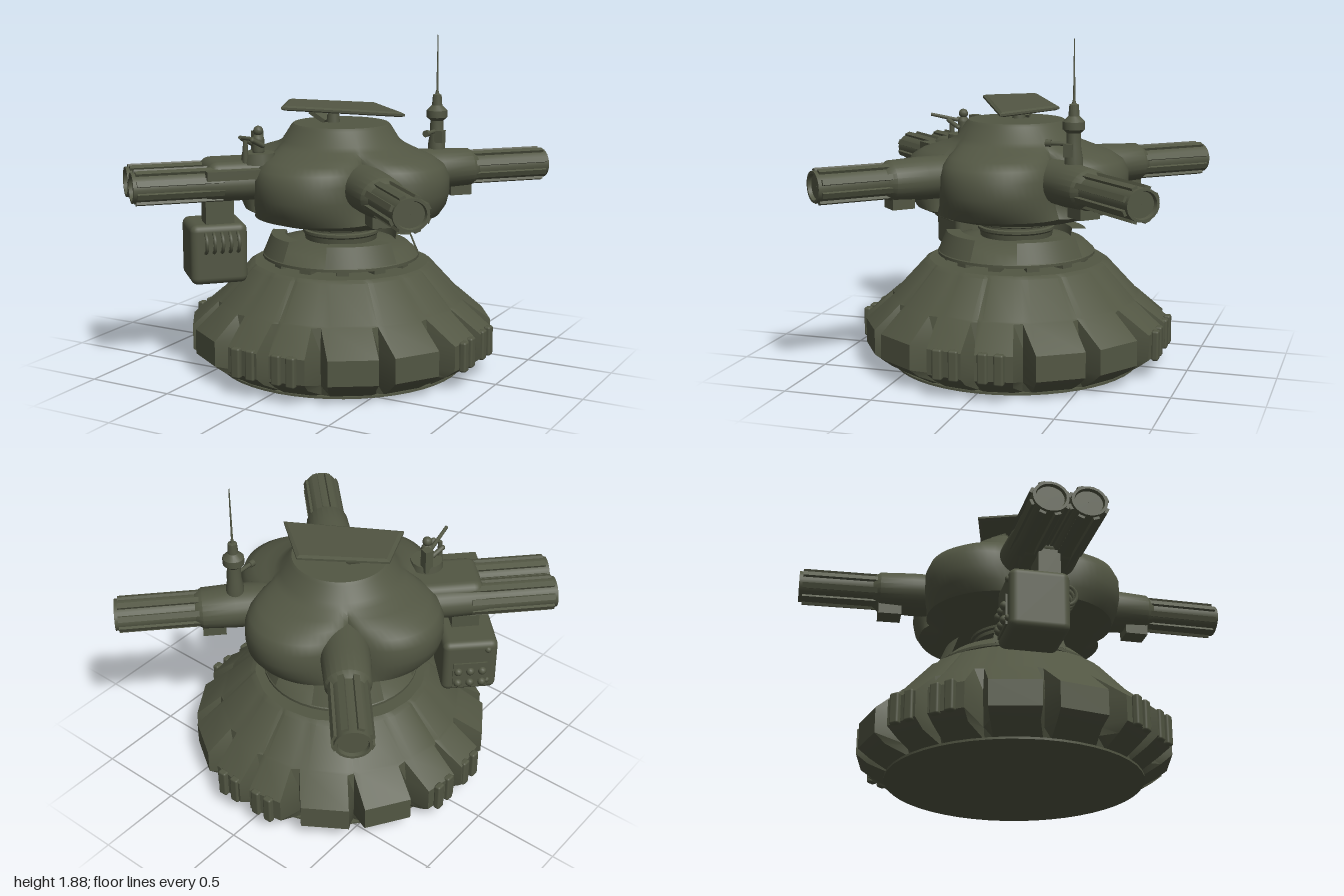
import * as THREE from 'three';
import { toCreasedNormals } from 'three/addons/utils/BufferGeometryUtils.js';
import { RoundedBoxGeometry } from 'three/addons/geometries/RoundedBoxGeometry.js';

const olive = new THREE.MeshStandardMaterial({ color: 0x525643 });
olive.name = 'olive drab';
const RAD = Math.PI / 180;

function add(parent, name, geo, x = 0, y = 0, z = 0) {
  const mesh = new THREE.Mesh(geo, olive);
  mesh.name = name;
  mesh.position.set(x, y, z);
  parent.add(mesh);
  return mesh;
}

function group(parent, name, angle = 0, x = 0, y = 0, z = 0) {
  const g = new THREE.Group();
  g.name = name;
  g.rotation.y = angle;
  g.position.set(x, y, z);
  parent.add(g);
  return g;
}

const box = (w, h, d) => new THREE.BoxGeometry(w, h, d);
const cyl = (r1, r2, h, n = 16) => new THREE.CylinderGeometry(r1, r2, h, n);

// Revolved profile of [radius, height] pairs with sharp edges kept
function lathe(points, n = 32) {
  const geo = new THREE.LatheGeometry(points.map(p => new THREE.Vector2(p[0], p[1])), n);
  return toCreasedNormals(geo, 0.6);
}

// Skin over horizontal rings whose radius depends on the row and the angle stop
function loft(rows, stops, radius, crease) {
  const pos = [], index = [], n = stops.length;
  for (const row of rows) for (const s of stops) {
    const r = radius(row, s);
    pos.push(r * Math.sin(s.a), row[0], r * Math.cos(s.a));
  }
  for (let i = 0; i < rows.length - 1; i++) for (let j = 0; j < n; j++) {
    const k = (j + 1) % n, a = i * n + j, b = i * n + k;
    index.push(a, b, a + n, b, b + n, a + n);
  }
  const geo = new THREE.BufferGeometry();
  geo.setAttribute('position', new THREE.Float32BufferAttribute(pos, 3));
  geo.setIndex(index);
  return toCreasedNormals(geo, crease);
}

function buildBase(root) {
  const base = group(root, 'base');
  // Sixteen armour petals with notches between them
  const half = [[0, 1], [2.5, 0], [16, 0], [20, 1], [24, 0], [42, 0]];
  const stops = [];
  for (let q = 0; q < 4; q++) {
    half.forEach(([d, v]) => stops.push({ a: (q * 90 + d) * RAD, v }));
    stops.push({ a: (q * 90 + 45) * RAD, v: 1 });
    half.slice(1).reverse().forEach(([d, v]) => stops.push({ a: (q * 90 + 90 - d) * RAD, v }));
  }
  // Rows: height, petal radius, notch radius
  const rows = [[0.01, 0.001, 0.001], [0.01, 0.7, 0.68], [0.07, 0.8, 0.7], [0.12, 0.865, 0.71],
    [0.26, 0.865, 0.72], [0.39, 0.715, 0.7], [0.4, 0.7, 0.69], [0.585, 0.53, 0.52],
    [0.6, 0.5, 0.5], [0.6, 0.001, 0.001]];
  add(base, 'armourSkirt', loft(rows, stops, (row, s) => row[1 + s.v], 0.45));
  add(base, 'groundPlate', cyl(0.71, 0.71, 0.012, 48), 0, 0.006, 0);
  // Raised bars on the petals facing the four sides
  for (let q = 0; q < 4; q++) {
    const side = group(base, 'petalBars', q * 90 * RAD);
    for (const x of [-0.17, -0.08, 0.08, 0.17])
      add(side, 'bar', new RoundedBoxGeometry(0.055, 0.17, 0.04, 2, 0.012), x, 0.19, 0.855);
  }
  // Flared collar on pads, with raised guards
  for (let i = 0; i < 12; i++) {
    const pad = group(base, 'collarPad', i * 30 * RAD);
    add(pad, 'pad', box(0.07, 0.05, 0.07), 0, 0.615, 0.38);
  }
  add(base, 'collar', lathe([[0.001, 0.61], [0.37, 0.61], [0.37, 0.63], [0.45, 0.63], [0.45, 0.645],
    [0.39, 0.7], [0.23, 0.73], [0.001, 0.73]], 40));
  for (let q = 0; q < 4; q++) {
    const shape = lathePart(0.4, 55 * RAD);
    const guard = group(base, 'collarGuard', (q * 90 + 45) * RAD);
    add(guard, 'guard', shape);
  }
  // Ringed neck
  add(base, 'neck', lathe([[0.2, 0.7], [0.21, 0.76], [0.22, 0.77], [0.22, 0.785], [0.205, 0.79],
    [0.205, 0.8], [0.235, 0.81], [0.235, 0.83], [0.25, 0.835], [0.25, 0.87]], 32));
}

// Closed curved wall centred on +z
function lathePart(r, angle) {
  const pts = [[r - 0.1, 0.65], [r + 0.045, 0.65], [r, 0.76], [r - 0.08, 0.76], [r - 0.1, 0.65]];
  const geo = new THREE.LatheGeometry(pts.map(p => new THREE.Vector2(...p)), 12, -angle / 2, angle);
  return toCreasedNormals(geo, 0.5);
}

function buildTurret(root) {
  const turret = group(root, 'turret');
  const stops = Array.from({ length: 96 }, (_, i) => ({ a: i / 96 * Math.PI * 2 }));
  // Rows: height, radius, depth of the diagonal creases
  const rows = [[0.85, 0.001, 0], [0.85, 0.4, 0], [0.865, 0.46, 0.04], [0.9, 0.58, 0.15],
    [0.96, 0.625, 0.27], [1.03, 0.645, 0.32], [1.12, 0.645, 0.33], [1.18, 0.615, 0.32],
    [1.22, 0.55, 0.27], [1.25, 0.46, 0.17], [1.275, 0.38, 0.05], [1.3, 0.335, 0],
    [1.38, 0.285, 0], [1.395, 0.27, 0], [1.395, 0.001, 0]];
  add(turret, 'lobedHull', loft(rows, stops,
    (row, s) => row[1] * (1 - row[2] * (1 - Math.pow(Math.abs(Math.cos(2 * s.a)), 0.75))), 0.6));
  // Tilted roof plate on a bracket
  const shape = new THREE.Shape([[0.08, 0.25], [-0.33, 0.01], [-0.22, -0.25], [0.36, 0.03]]
    .map(p => new THREE.Vector2(...p)));
  const plate = new THREE.ExtrudeGeometry(shape,
    { depth: 0.012, bevelEnabled: true, bevelSize: 0.02, bevelThickness: 0.008, bevelSegments: 1 });
  plate.rotateX(-Math.PI / 2);
  add(turret, 'roofPlate', plate, 0, 1.472, 0).rotation.z = -0.055;
  add(turret, 'plateBracket', box(0.11, 0.025, 0.1), -0.13, 1.425, 0).rotation.z = -0.5;
  add(turret, 'platePost', cyl(0.03, 0.04, 0.1), -0.05, 1.43, 0);
}

// Horizontal gun tube pointing along +z
function gunTube(parent, length, x, rRoot, rTip) {
  const tube = group(parent, 'gunTube', 0, x, 1.1, 0);
  tube.scale.y = 0.88;
  const geo = lathe([[0.001, 0.2], [rRoot, 0.25], [rRoot, 0.6], [rRoot * 0.93, 0.78], [rTip, 0.82],
    [rTip, length], [rTip - 0.015, length], [rTip - 0.02, length - 0.02], [0.001, length - 0.02]], 24);
  geo.rotateX(Math.PI / 2);
  add(tube, 'barrel', geo);
  // Long cooling slats around the muzzle half
  for (let i = 0; i < 8; i++) {
    const slat = group(tube, 'slat');
    slat.rotation.z = (i + 0.5) * Math.PI / 4;
    add(slat, 'slatBar', box(0.035, 0.022, length - 0.74), 0, rTip + 0.004, (length + 0.7) / 2);
  }
}

function buildGuns(root) {
  for (const [deg, length] of [[45, 1.215], [136.5, 1.265], [-138, 1.235]]) {
    const gun = group(root, 'cannon', deg * RAD);
    gunTube(gun, length, 0, 0.135, 0.097);
    add(gun, 'underBlock', box(0.12, 0.09, 0.13), 0, 0.99, 0.72);
  }
  // Twin cannon in a broad housing
  const twin = group(root, 'twinCannon', -44 * RAD);
  gunTube(twin, 1.215, -0.1, 0.11, 0.095);
  gunTube(twin, 1.215, 0.1, 0.11, 0.095);
  add(twin, 'housing', new RoundedBoxGeometry(0.32, 0.22, 0.6, 3, 0.06), 0, 1.11, 0.5);
  add(twin, 'sideRail', box(0.07, 0.05, 0.32), 0.19, 1.16, 0.66);
  add(twin, 'podHanger', box(0.12, 0.2, 0.16), 0, 0.93, 0.72);
}

function buildPod(root) {
  const pod = group(root, 'sensorPod', -45 * RAD, -0.555, 0.695, 0.475);
  add(pod, 'podBox', new RoundedBoxGeometry(0.32, 0.34, 0.32, 3, 0.04));
  // Curved ribs on the inner side
  for (let i = 0; i < 5; i++) {
    const rib = add(pod, 'rib', new THREE.TorusGeometry(0.055, 0.01, 6, 12, Math.PI),
      0.155, 0.07, -0.1 + i * 0.045);
    rib.rotation.z = -Math.PI / 2;
  }
  // Equipment panel on the outer side
  add(pod, 'panel', box(0.02, 0.17, 0.2), -0.16, -0.05, 0);
  for (let i = 0; i < 6; i++)
    add(pod, 'knob', new THREE.SphereGeometry(0.025, 10, 8), -0.17, -0.1 + (i % 2) * 0.08, -0.07 + Math.floor(i / 2) * 0.07);
  for (const y of [-0.1, 0.12])
    add(pod, 'stud', new THREE.SphereGeometry(0.02, 10, 8), -0.155, y, 0.1);
}

function buildAntenna(root) {
  const mast = group(root, 'antenna', 0, 0.395, 0, -0.44);
  add(mast, 'mast', lathe([[0.05, 1.15], [0.05, 1.24], [0.04, 1.3], [0.038, 1.38], [0.06, 1.4],
    [0.06, 1.44], [0.03, 1.47], [0.025, 1.53], [0.012, 1.535], [0.006, 1.56], [0.003, 1.875], [0.001, 1.875]], 16));
  add(mast, 'sideArm', cyl(0.012, 0.012, 0.13, 8), 0, 1.32, 0.08).rotation.x = Math.PI / 2;
  add(mast, 'armTip', cyl(0.02, 0.02, 0.03, 8), 0, 1.32, 0.14).rotation.x = Math.PI / 2;
  add(mast, 'sideBox', box(0.05, 0.07, 0.05), 0.03, 1.29, 0.02);
}

function buildGunner(root) {
  const gunner = group(root, 'gunner', -20 * RAD, -0.29, 0, 0.42);
  add(gunner, 'hatch', cyl(0.09, 0.1, 0.06, 16), 0, 1.23, 0);
  add(gunner, 'torso', new THREE.CapsuleGeometry(0.035, 0.06, 4, 10), 0, 1.3, 0);
  add(gunner, 'head', new THREE.SphereGeometry(0.028, 12, 8), 0, 1.38, 0);
  for (const s of [-1, 1]) {
    const arm = add(gunner, 'arm', new THREE.CapsuleGeometry(0.014, 0.08, 4, 8), s * 0.045, 1.32, 0.04);
    arm.rotation.x = 1.1;
  }
  add(gunner, 'gunPost', cyl(0.012, 0.018, 0.14, 8), 0, 1.28, 0.09);
  add(gunner, 'lightGun', cyl(0.01, 0.012, 0.2, 8), 0.03, 1.35, 0.1).rotation.set(1.35, 0, -0.5);
  add(gunner, 'ammoBox', box(0.05, 0.14, 0.05), -0.06, 1.3, -0.04);
}

export function createModel() {
  const model = new THREE.Group();
  model.name = 'gunTurret';
  const root = group(model, 'assembly', 0, 0.025, 0, 0);
  buildBase(root);
  buildTurret(root);
  buildGuns(root);
  buildPod(root);
  buildAntenna(root);
  buildGunner(root);
  return model;
}
